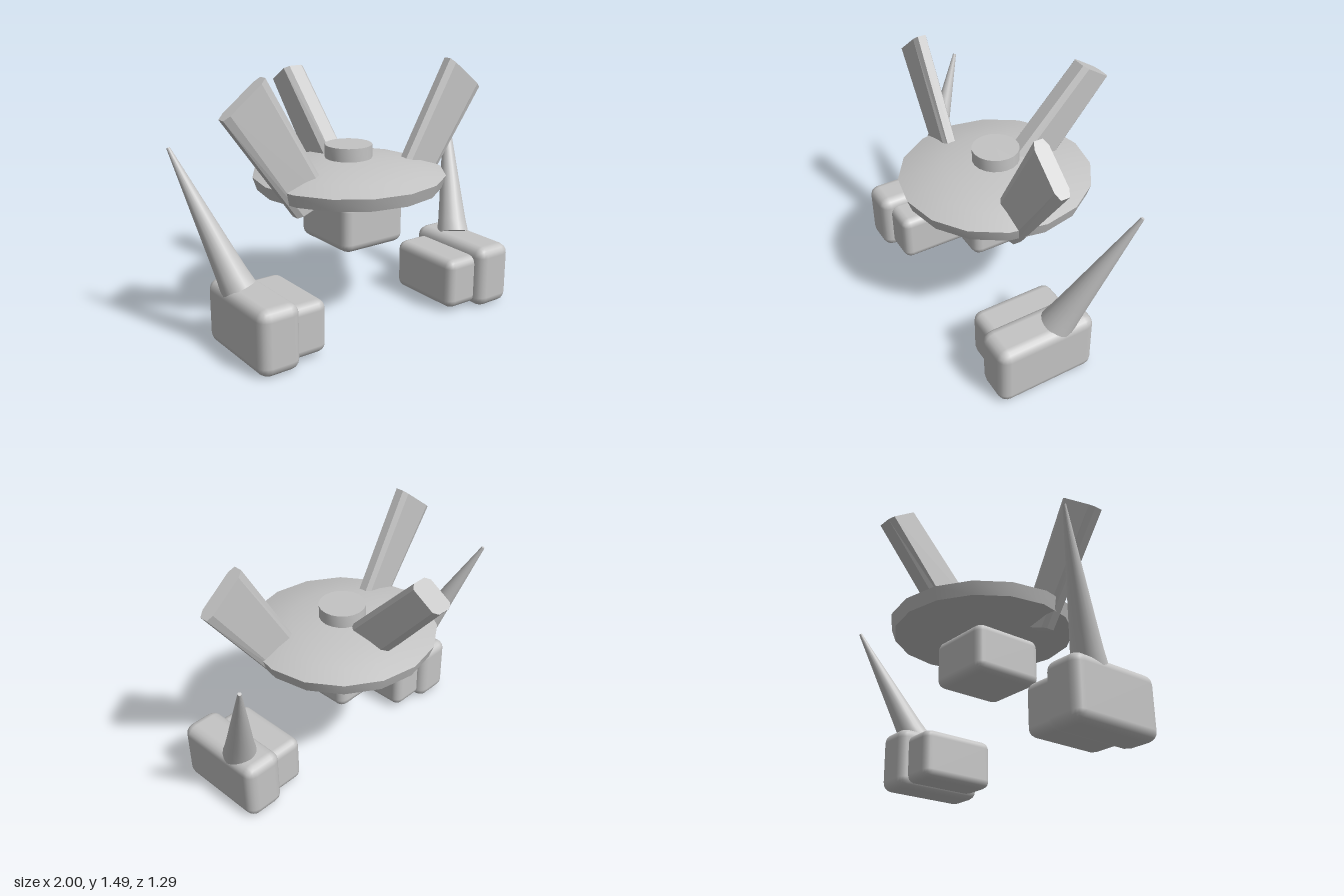
import * as THREE from 'three';
import { toCreasedNormals } from 'three/addons/utils/BufferGeometryUtils.js';
import { RoundedBoxGeometry } from 'three/addons/geometries/RoundedBoxGeometry.js';

const V2 = (x, y) => new THREE.Vector2(x, y);

export function createModel() {
  const model = new THREE.Group();
  model.name = 'saucerRobot';
  const grey = new THREE.MeshStandardMaterial({ color: 0xc4c4c4 });
  grey.name = 'lightGrey';

  const add = (name, geometry, x = 0, y = 0, z = 0) => {
    const mesh = new THREE.Mesh(geometry, grey);
    mesh.name = name;
    mesh.position.set(x, y, z);
    model.add(mesh);
    return mesh;
  };

  // Rounded box given by its limits on each axis
  const box = (name, [x0, x1], [y0, y1], [z0, z1], radius) =>
    add(name, new RoundedBoxGeometry(x1 - x0, y1 - y0, z1 - z0, 2, radius),
      (x0 + x1) / 2, (y0 + y1) / 2, (z0 + z1) / 2);

  // Turned part with smooth sides and sharp rims
  const turned = (points, sides) =>
    toCreasedNormals(new THREE.LatheGeometry(points.map(([r, y]) => V2(r, y)), sides), 0.6);

  // Tapered slab with chamfered long edges, spanning four corners in the xy plane
  const slab = (corners, thickness) => {
    const [a0, a1, b0, b1] = corners.map(([x, y]) => V2(x, y));
    const section = new THREE.Shape([
      [-0.5, -0.3], [-0.37, -0.5], [0.37, -0.5], [0.5, -0.3],
      [0.5, 0.3], [0.37, 0.5], [-0.37, 0.5], [-0.5, 0.3],
    ].map(([u, v]) => V2(u, v)));
    const geometry = new THREE.ExtrudeGeometry(section, { depth: 1, bevelEnabled: false });
    const p = geometry.attributes.position;
    for (let i = 0; i < p.count; i++) {
      const u = p.getX(i) + 0.5, v = p.getY(i), w = p.getZ(i);
      const q = a0.clone().lerp(a1, u).lerp(b0.clone().lerp(b1, u), w);
      p.setXYZ(i, q.x, q.y, -v * thickness);
    }
    geometry.computeVertexNormals();
    return geometry;
  };

  // Saucer with its top button and the block below
  add('saucer', turned([
    [0, 0.743], [0.3, 0.747], [0.535, 0.79], [0.56, 0.865],
    [0.44, 0.905], [0.3, 0.935], [0.14, 0.953], [0, 0.957],
  ], 16), 0, 0, 0.083);
  add('topButton', turned([[0, 0.94], [0.137, 0.94], [0.137, 1.03], [0, 1.03]], 20), 0, 0, 0.08);
  box('lowerBlock', [-0.21, 0.21], [0.47, 0.76], [-0.115, 0.34], 0.05);

  // Fins: one at the back, one on each side
  const backFin = slab([[0.026, 0.947], [0.21, 0.785], [0.47, 1.415], [0.645, 1.305]], 0.14);
  add('backFin', backFin).rotation.y = Math.PI / 2;
  const sideFin = slab([[0.23, 0.79], [0.45, 0.705], [0.63, 1.485], [0.877, 1.293]], 0.083);
  add('leftFin', sideFin, 0, 0, 0.205);
  add('rightFin', sideFin, 0, 0, 0.205).rotation.y = Math.PI;

  // Feet: outer and inner blocks with a leaning spike on each side
  for (const [side, s] of [['left', 1], ['right', -1]]) {
    const span = (a, b) => (s > 0 ? [a, b] : [-b, -a]);
    box(side + 'OuterFoot', span(0.635, 0.88), [0, 0.375], [-0.045, 0.555], 0.06);
    box(side + 'InnerFoot', span(0.44, 0.68), [0.022, 0.325], [0, 0.5], 0.05);

    const lean = new THREE.Vector3(s * 0.212, 0.745, -0.335);
    const length = lean.length();
    const spike = add(side + 'Spike', turned([
      [0, 0], [0.1, 0], [0.088, 0.08], [0.075, 0.2],
      [0.048, 0.47], [0.01, length], [0, length],
    ], 20), s * 0.78, 0.35, 0.15);
    spike.quaternion.setFromUnitVectors(new THREE.Vector3(0, 1, 0), lean.normalize());
  }

  return model;
}
